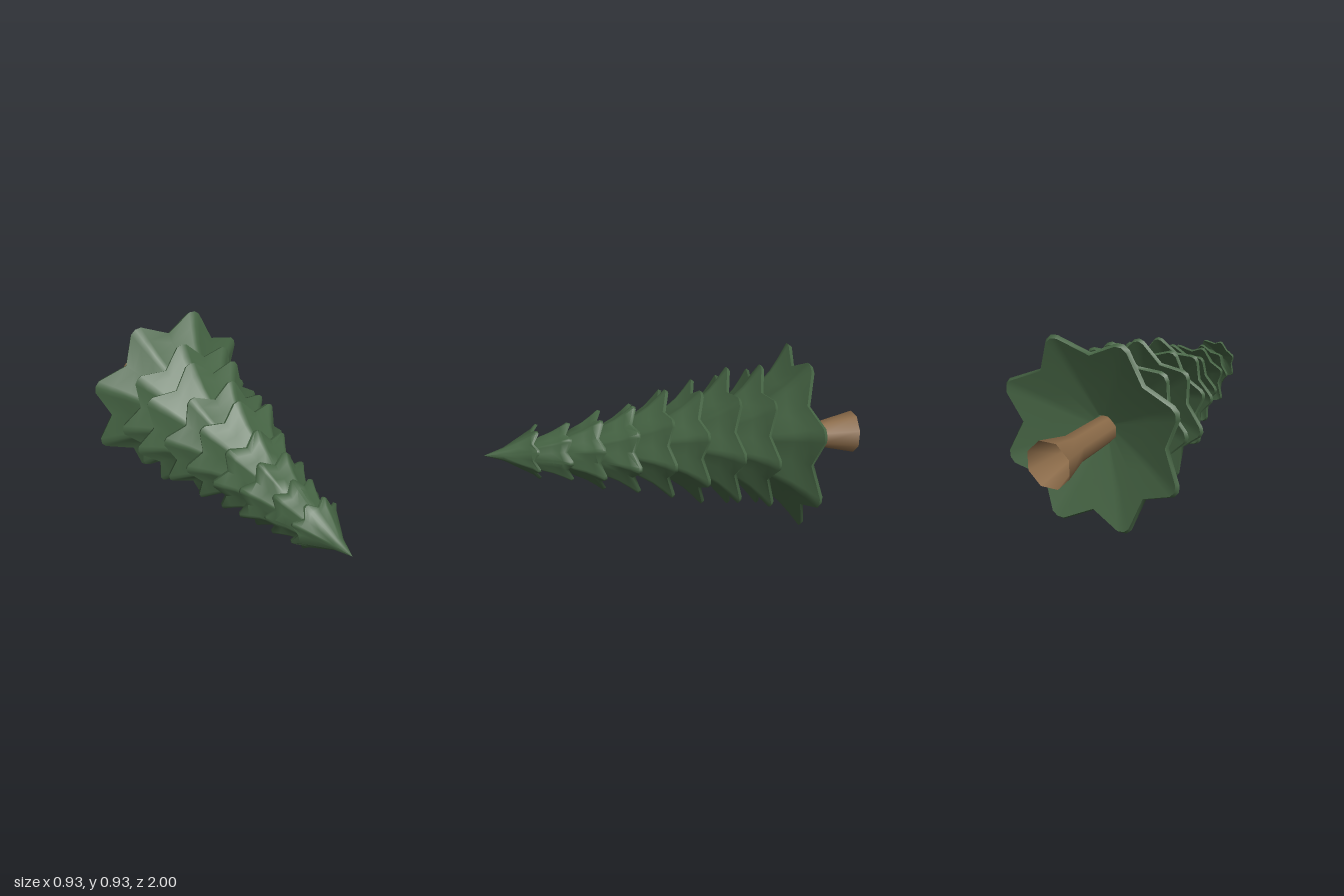
import * as THREE from 'three';
import { toCreasedNormals } from 'three/addons/utils/BufferGeometryUtils.js';

const green = new THREE.MeshStandardMaterial({ color: 0x456343, side: THREE.DoubleSide });
const brown = new THREE.MeshStandardMaterial({ color: 0x8a6a48, side: THREE.DoubleSide });

// Tiers from the base up: rim z, tip radius, centre x, centre y, turn in degrees
const TIERS = [
  [-0.67, 0.5, 0.002, 0.462, 22.5],
  [-0.47, 0.405, -0.01, 0.465, 1],
  [-0.30, 0.388, -0.03, 0.465, 6],
  [-0.13, 0.338, -0.025, 0.455, 27],
  [0.04, 0.307, -0.015, 0.465, -2],
  [0.21, 0.248, -0.025, 0.446, -5],
  [0.385, 0.212, -0.035, 0.445, 22.5],
  [0.55, 0.163, -0.035, 0.45, 0],
  [0.715, 0.144, -0.035, 0.463, 22.5],
];

// Rings from apex over the rim to the underside:
// radius / tip radius, height / tier length, valley radius / ridge radius, valley lift
const OUTER = [
  [0.001, 1.8, 1, 0], [0.25, 1.5, 0.95, 0], [0.57, 1, 0.88, 0],
  [0.71, 0.62, 0.85, 0.02], [0.86, 0.33, 0.81, 0.07], [1, 0.09, 0.79, 0.16],
];
const TOP_OUTER = [
  [0.001, 1.7, 1, 0], [0.24, 1.1, 0.95, 0], [0.57, 0.62, 0.86, 0.02],
  [0.82, 0.25, 0.81, 0.06], [1, 0.08, 0.79, 0.15],
];
const UNDER = [[0.97, 0, 0.79, 0.16], [0.6, 0.36, 0.8, 0.08], [0.12, 0.75, 0.95, 0]];

// Eight-pointed star skirt; each point has a blunt tip and straight flanks
function tierGeometry(radius, length, rings) {
  const pos = [], index = [], n = 32;
  for (const [r, h, valley, lift] of rings) {
    for (let k = 0; k < 8; k++) {
      for (const [deg, ridge] of [[-4, 0.98], [0, 1], [4, 0.98], [22.5, 0]]) {
        const a = THREE.MathUtils.degToRad(k * 45 + deg);
        const rad = r * radius * (ridge || valley);
        pos.push(rad * Math.cos(a), rad * Math.sin(a), length * (h + (ridge ? 0 : lift)));
      }
    }
  }
  for (let i = 0; i < rings.length - 1; i++) {
    for (let j = 0; j < n; j++) {
      const a = i * n + j, b = i * n + (j + 1) % n;
      index.push(a, a + n, b, b, a + n, b + n);
    }
  }
  const geo = new THREE.BufferGeometry();
  geo.setAttribute('position', new THREE.Float32BufferAttribute(pos, 3));
  geo.setIndex(index);
  return toCreasedNormals(geo, 1.1);
}

export function createModel() {
  const tree = new THREE.Group();
  tree.name = 'lyingFirTree';

  // Foliage tiers
  const foliage = new THREE.Group();
  foliage.name = 'foliage';
  TIERS.forEach(([z, radius, x, y, turn], i) => {
    const top = i === TIERS.length - 1;
    const length = top ? 0.1675 : TIERS[i + 1][0] - z;
    const rings = [...(top ? TOP_OUTER : OUTER), ...UNDER];
    const mesh = new THREE.Mesh(tierGeometry(radius, length, rings), green);
    mesh.name = 'branchTier' + (i + 1);
    mesh.position.set(x, y, z);
    mesh.rotation.z = THREE.MathUtils.degToRad(turn);
    foliage.add(mesh);
  });
  tree.add(foliage);

  // Hollow eight-sided trunk with a flared, open foot, tapering inside the foliage
  const profile = [[0.115, -1], [0.073, -0.82], [0.07, -0.6], [0.045, 0.3], [0, 0.7]]
    .map(([r, h]) => new THREE.Vector2(r, h));
  const trunkGeo = new THREE.LatheGeometry(profile, 8, Math.PI / 8);
  trunkGeo.rotateX(Math.PI / 2);
  const trunk = new THREE.Mesh(trunkGeo, brown);
  trunk.name = 'trunk';
  trunk.position.set(-0.004, 0.45, 0);
  tree.add(trunk);

  return tree;
}
